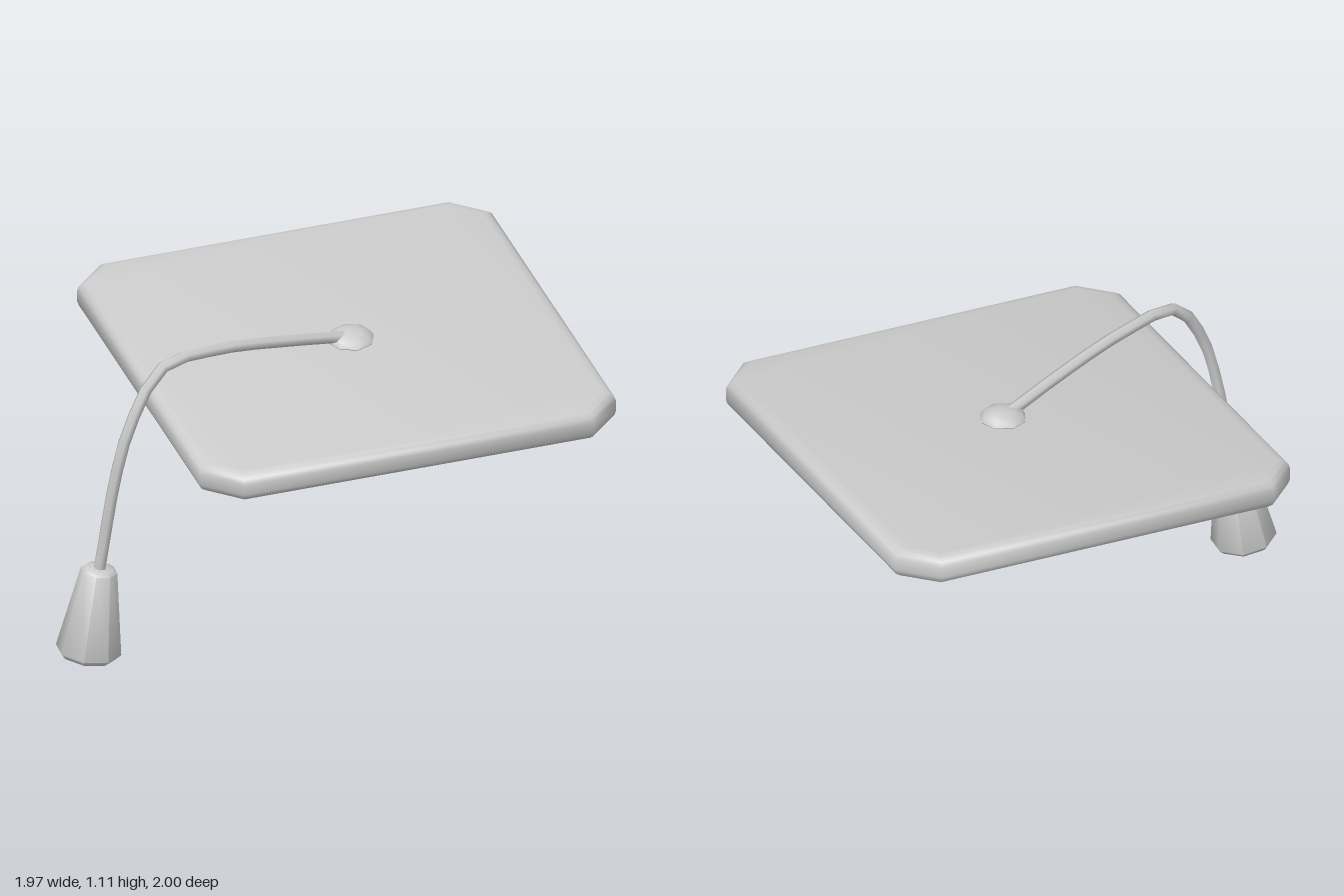
import * as THREE from 'three';
import { toCreasedNormals } from 'three/addons/utils/BufferGeometryUtils.js';

const material = new THREE.MeshStandardMaterial({ color: 0xcccccc, side: THREE.DoubleSide });

function part(name, geometry, crease = 0.9) {
  const mesh = new THREE.Mesh(toCreasedNormals(geometry, crease), material);
  mesh.name = name;
  return mesh;
}

// Eight-sided turned shape from [radius, height] pairs
function turned(profile) {
  return new THREE.LatheGeometry(profile.map(([r, y]) => new THREE.Vector2(r, y)), 8);
}

// Flat slab with clipped corners and softly bevelled rims
function boardGeometry(halfX, halfZ, clip, thickness) {
  const inset = 0.045, bevel = 0.035;
  const a = halfX - inset, b = halfZ - inset, c = clip - inset * 0.6;
  const shape = new THREE.Shape([
    [a, c - b], [a, b - c], [a - c, b], [c - a, b],
    [-a, b - c], [-a, c - b], [c - a, -b], [a - c, -b],
  ].map(([x, y]) => new THREE.Vector2(x, y)));
  const depth = thickness - 2 * bevel;
  const geometry = new THREE.ExtrudeGeometry(shape, {
    depth, bevelSize: inset, bevelThickness: bevel, bevelSegments: 3,
  });
  return geometry.translate(0, 0, -depth / 2).rotateX(-Math.PI / 2);
}

export function createModel() {
  const model = new THREE.Group();
  model.name = 'graduationCap';

  // Tilted and turned cap: board, head band and button
  const cap = new THREE.Group();
  cap.name = 'cap';
  cap.position.y = 0.925;
  cap.rotation.set(0.105, 0.46, 0);
  model.add(cap);

  cap.add(part('board', boardGeometry(0.764, 0.802, 0.122, 0.11)));

  const band = part('headBand', turned([[0.255, -0.04], [0.255, -0.27], [0.327, -0.27], [0.327, -0.04]]));
  band.position.set(0.025, 0, 0.05);
  band.rotation.y = Math.PI / 8;
  cap.add(band);

  const button = part('button', new THREE.SphereGeometry(0.084, 8, 6).scale(1, 0.45, 1));
  button.position.set(0.01, 0.058, 0.02);
  cap.add(button);

  // Cord arching over the board edge and hanging down
  const path = new THREE.CatmullRomCurve3([
    [0.01, 0.99, 0.02], [-0.2, 1.045, 0.22], [-0.38, 1.08, 0.385], [-0.57, 1.07, 0.56],
    [-0.66, 0.91, 0.645], [-0.71, 0.73, 0.675], [-0.775, 0.335, 0.675],
  ].map((p) => new THREE.Vector3(...p)));
  model.add(part('cord', new THREE.TubeGeometry(path, 16, 0.022, 6), 1.2));

  // Flared tassel leaning with the cord
  const tassel = part('tassel', turned([
    [0, 0], [0.1, 0], [0.116, 0.018], [0.065, 0.325], [0.05, 0.338], [0, 0.338],
  ]));
  tassel.position.set(-0.815, 0.012, 0.67);
  tassel.rotation.z = -0.12;
  model.add(tassel);

  return model;
}
